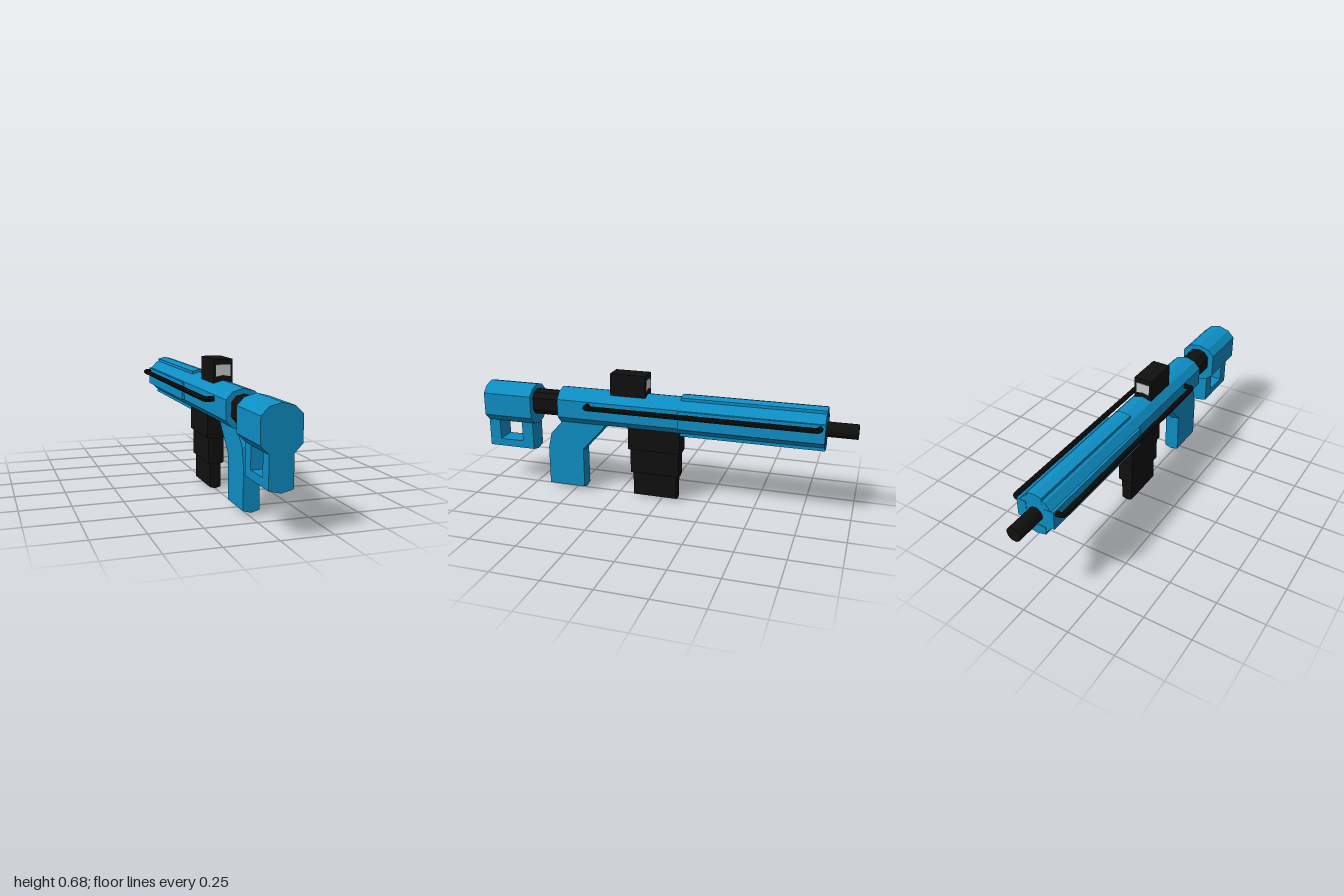
import * as THREE from 'three';

const mat = (color) => new THREE.MeshStandardMaterial({ color, flatShading: true, side: THREE.DoubleSide });

export function createModel() {
  const model = new THREE.Group();
  const blue = mat(0x0e8ec4), black = mat(0x101010), grey = mat(0xcccccc);

  const add = (name, geometry, material) => {
    const mesh = new THREE.Mesh(geometry, material);
    mesh.name = name;
    model.add(mesh);
    return mesh;
  };
  const toShape = (pts) => new THREE.Shape(pts.map(([x, y]) => new THREE.Vector2(x, y)));

  // Prism with an (x, y) section running from z0 to z1
  const prism = (pts, z0, z1) =>
    new THREE.ExtrudeGeometry(toShape(pts), { depth: z1 - z0, bevelEnabled: false }).translate(0, 0, z0);

  // Mirrors a half section, listed from the top centre to the bottom centre
  const mirrored = (half) => [...half, ...half.filter(([x]) => x > 0).reverse().map(([x, y]) => [-x, y])];

  // Slab with a (z, y) outline, whose middle line is pushed down where isUnder holds
  const ridgedSlab = (shape, width, ridge, isUnder) => {
    const geo = new THREE.ExtrudeGeometry(shape, { depth: width, steps: 2, bevelEnabled: false });
    geo.translate(0, 0, -width / 2).rotateY(-Math.PI / 2);
    const p = geo.attributes.position;
    for (let i = 0; i < p.count; i++) {
      if (Math.abs(p.getX(i)) < 0.001 && isUnder(p.getZ(i), p.getY(i))) p.setY(i, p.getY(i) - ridge);
    }
    return geo;
  };

  // Receiver and fore-end core
  const bodySection = mirrored([[0, 0.578], [0.053, 0.563], [0.087, 0.527], [0.087, 0.43], [0.053, 0.395], [0, 0.381]]);
  add('receiver', prism(bodySection, -0.845, 0.565), blue);

  // Raised fore-end panels
  const z0 = -0.847, z1 = -0.108;
  add('foreEndTopPanel', prism(mirrored([[0, 0.592], [0.04, 0.582], [0.04, 0.55]]), z0, z1), blue);
  add('foreEndBottomPanel', prism(mirrored([[0, 0.42], [0.05, 0.42], [0.05, 0.377], [0, 0.366]]), z0, z1), blue);
  for (const s of [-1, 1]) {
    const panel = [[0.05, 0.527], [0.1, 0.527], [0.1, 0.43], [0.05, 0.43]].map(([x, y]) => [s * x, y]);
    add(s > 0 ? 'leftForeEndPanel' : 'rightForeEndPanel', prism(panel, z0, z1), blue);
  }

  // Barrel
  add('barrel', new THREE.CylinderGeometry(0.038, 0.038, 0.2, 16).rotateX(Math.PI / 2).translate(0, 0.477, -0.9), black);

  // Stock: connecting tube, upper block and looped lower part
  add('stockTube', prism(mirrored([[0, 0.551], [0.038, 0.542], [0.061, 0.515], [0.061, 0.448], [0.038, 0.42], [0, 0.411]]), 0.54, 0.74), black);
  add('stock', prism(mirrored([[0, 0.578], [0.057, 0.563], [0.094, 0.527], [0.094, 0.405], [0.057, 0.367], [0, 0.354]]), 0.722, 1), blue);
  const loop = toShape([[0.735, 0.215], [1, 0.215], [1, 0.40], [0.735, 0.40]]);
  loop.holes.push(new THREE.Path([[0.8, 0.256], [0.8, 0.365], [0.935, 0.365], [0.935, 0.256]].map(([z, y]) => new THREE.Vector2(z, y))));
  add('stockLoop', ridgedSlab(loop, 0.112, 0.014, (z, y) => y < 0.22), blue);

  // Grip, set slightly to the left
  const grip = toShape([[0.44, 0.024], [0.645, 0.024], [0.645, 0.235], [0.625, 0.32], [0.565, 0.385], [0.565, 0.42], [0.28, 0.42], [0.31, 0.388], [0.44, 0.245]]);
  const gripMesh = add('grip', ridgedSlab(grip, 0.08, 0.011, (z, y) => y < 0.03 || (z < 0.45 && y < 0.4)), blue);
  gripMesh.position.x = 0.01;

  // Magazine, stepping inward downward
  const tiers = [
    [0.05, 0.265, 0.42, -0.105, 0.18],
    [0.04, 0.13, 0.29, -0.095, 0.17],
    [0.029, 0, 0.15, -0.083, 0.158],
  ];
  tiers.forEach(([w, bottom, top, za, zb], i) =>
    add('magazineTier' + (i + 1), prism(mirrored([[0, top], [w, top], [w, bottom + 0.009], [0, bottom]]), za, zb), black));

  // Sight housing with a pane at each end
  add('sight', new THREE.BoxGeometry(0.098, 0.132, 0.193).translate(0, 0.616, 0.178), black);
  const pane = mirrored([[0, 0.655], [0.037, 0.655], [0.037, 0.597], [0, 0.604]]);
  add('frontSightPane', prism(pane, 0.27, 0.277), grey);
  add('rearSightPane', prism(pane, 0.079, 0.086), grey);

  // Side rails, bent into the body at both ends
  for (const s of [-1, 1]) {
    const v = (x, z) => new THREE.Vector3(s * x, 0.507, z);
    const path = new THREE.CurvePath();
    path.add(new THREE.LineCurve3(v(0.07, 0.39), v(0.115, 0.39)));
    path.add(new THREE.QuadraticBezierCurve3(v(0.115, 0.39), v(0.131, 0.39), v(0.131, 0.374)));
    path.add(new THREE.LineCurve3(v(0.131, 0.374), v(0.131, -0.806)));
    path.add(new THREE.QuadraticBezierCurve3(v(0.131, -0.806), v(0.131, -0.822), v(0.115, -0.822)));
    path.add(new THREE.LineCurve3(v(0.115, -0.822), v(0.07, -0.822)));
    add(s > 0 ? 'leftRail' : 'rightRail', new THREE.TubeGeometry(path, 260, 0.0135, 10), black);
  }

  return model;
}
